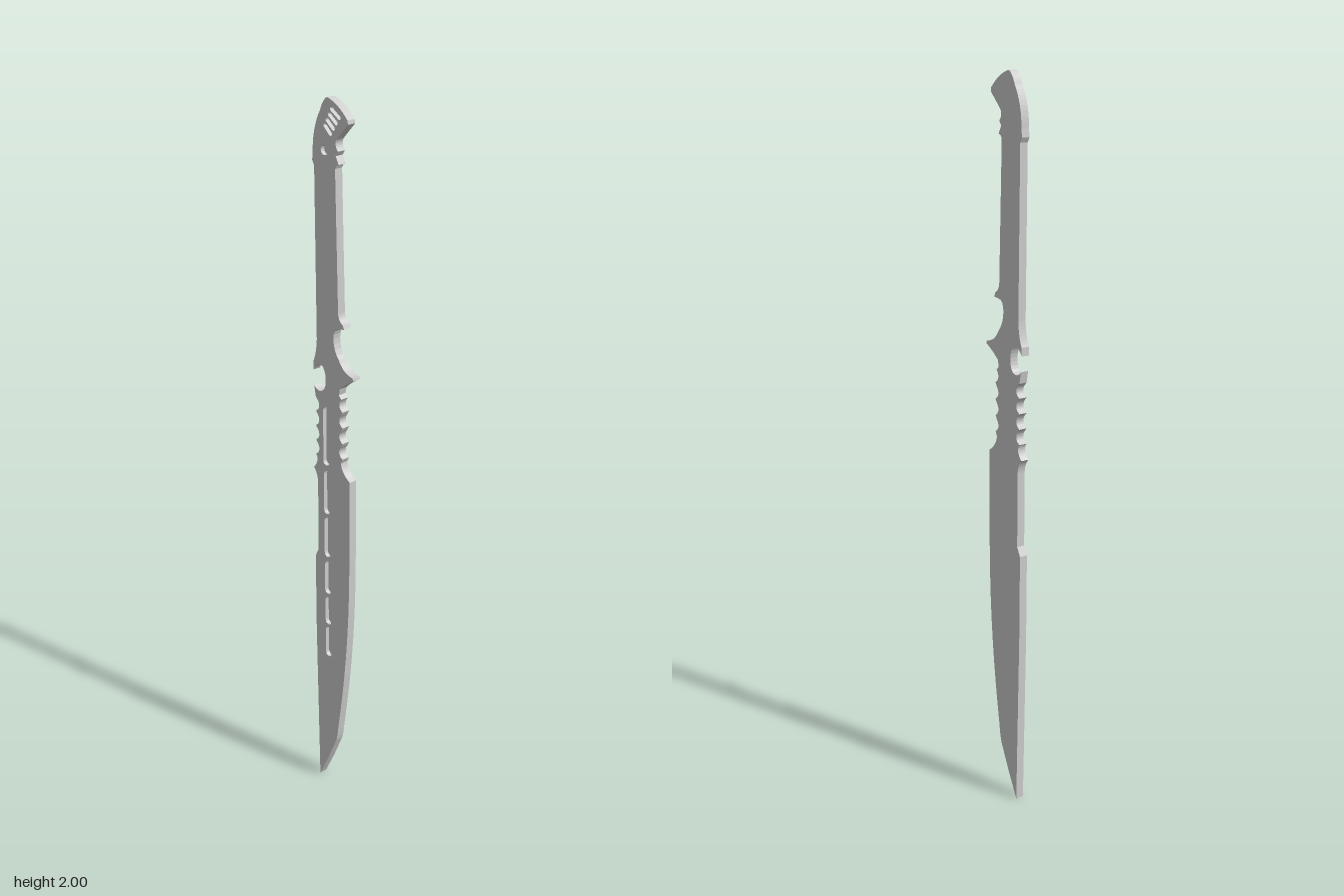
import * as THREE from 'three';

const T = 0.024;        // blade thickness
const FLOOR = 0.012;    // thickness left under the engraved grooves

// Rounded slot of length l and width w, centred at (x, y), long axis turned by angle a
function slot(x, y, l, w, a) {
  const r = w / 2, h = l / 2 - r, pts = [];
  for (let end = 0; end < 2; end++) {
    for (let i = 0; i <= 6; i++) {
      const t = a + end * Math.PI - Math.PI / 2 + (i / 6) * Math.PI;
      const s = end ? -h : h;
      pts.push(new THREE.Vector2(
        x + s * Math.cos(a) + r * Math.cos(t),
        y + s * Math.sin(a) + r * Math.sin(t)));
    }
  }
  return pts;
}

function outline() {
  const s = new THREE.Shape();
  const line = (...p) => p.forEach(([x, y]) => s.lineTo(x, y));
  // Cutting edge, from the tip upwards
  s.moveTo(-0.056, 0);
  line([-0.02, 0.075], [0.012, 0.15]);
  s.quadraticCurveTo(0.018, 0.17, 0.021, 0.2);
  s.bezierCurveTo(0.045, 0.36, 0.064, 0.52, 0.064, 0.75);
  line([0.064, 1.0]);
  s.quadraticCurveTo(0.034, 1.018, 0.03, 1.045);
  // Scalloped teeth on the edge side
  for (let i = 0; i < 4; i++) {
    const y = 1.05 + i * 0.045;
    line([0.036, y + 0.008]);
    s.quadraticCurveTo(0.014, y + 0.022, 0.031, y + 0.043);
  }
  // Guard spike and finger notch
  line([0.022, 1.238], [0.026, 1.256]);
  s.quadraticCurveTo(0.045, 1.275, 0.075, 1.292);
  line([0.073, 1.3]);
  s.quadraticCurveTo(0.04, 1.302, 0.022, 1.335);
  s.bezierCurveTo(-0.004, 1.36, -0.006, 1.42, 0.022, 1.42);
  line([0.041, 1.423], [0.036, 1.434]);
  s.quadraticCurveTo(0.02, 1.442, 0.019, 1.462);
  // Grip and pommel beak
  line([0.008, 1.83], [0.012, 1.838], [0.021, 1.842], [0.01, 1.862], [0.018, 1.874]);
  s.quadraticCurveTo(0.002, 1.893, 0.018, 1.908);
  line([0.053, 1.945], [0.051, 1.955]);
  s.quadraticCurveTo(0.02, 1.99, -0.02, 2.0);
  s.quadraticCurveTo(-0.035, 1.993, -0.045, 1.965);
  s.quadraticCurveTo(-0.072, 1.92, -0.072, 1.86);
  line([-0.074, 1.838], [-0.067, 1.825], [-0.061, 1.37]);
  // Hooked round cutout on the spine
  s.quadraticCurveTo(-0.063, 1.33, -0.075, 1.305);
  line([-0.075, 1.282]);
  s.quadraticCurveTo(-0.058, 1.315, -0.038, 1.3);
  s.bezierCurveTo(-0.022, 1.28, -0.024, 1.235, -0.045, 1.23);
  s.quadraticCurveTo(-0.06, 1.225, -0.072, 1.24);
  line([-0.066, 1.208]);
  // Scalloped teeth on the spine side
  for (let i = 0; i < 4; i++) {
    const y = 1.205 - i * 0.042;
    s.quadraticCurveTo(-0.046, y - 0.014, -0.057, y - 0.03);
    line([-0.066, y - 0.037]);
  }
  // Spine down to the tip
  s.quadraticCurveTo(-0.052, 1.025, -0.075, 1.0);
  s.quadraticCurveTo(-0.06, 0.985, -0.059, 0.96);
  line([-0.058, 0.755], [-0.07, 0.73], [-0.068, 0.5], [-0.056, 0]);
  return s;
}

function grooves() {
  const list = [];
  // Row of fuller slots along the blade: bottom and top heights
  [[0.425, 0.521], [0.529, 0.617], [0.627, 0.73], [0.743, 0.865], [0.875, 1.005], [1.02, 1.19]]
    .forEach(([a, b]) => {
      const y = (a + b) / 2;
      list.push(slot(-0.012 - 0.013 * y, y, b - a, 0.023, Math.PI / 2));
    });
  // Slanted slots in the pommel and the small round dimple
  for (let i = 0; i < 4; i++) {
    list.push(slot(-0.018 + i * 0.009, 1.922 + i * 0.0145, 0.037 + i * 0.002, 0.011, -0.75 + i * 0.06));
  }
  list.push(slot(-0.03, 1.87, 0.0262, 0.026, 0));
  return list;
}

export function createModel() {
  const group = new THREE.Group();
  group.name = 'machete';
  const material = new THREE.MeshStandardMaterial({ color: 0xcccccc });
  const extrude = (shape, depth, name) => {
    const geo = new THREE.ExtrudeGeometry(shape, { depth, bevelEnabled: false, curveSegments: 8 });
    geo.translate(0, 0, -T / 2);
    const mesh = new THREE.Mesh(geo, material);
    mesh.name = name;
    group.add(mesh);
  };

  // One flat body; each groove is opened, then closed by a thinner floor
  const cuts = grooves();
  const body = outline();
  cuts.forEach((p) => body.holes.push(new THREE.Path(p)));
  extrude(body, T, 'bladeAndHandle');
  cuts.forEach((p, i) => extrude(new THREE.Shape(p), FLOOR, 'grooveFloor' + (i + 1)));
  return group;
}
